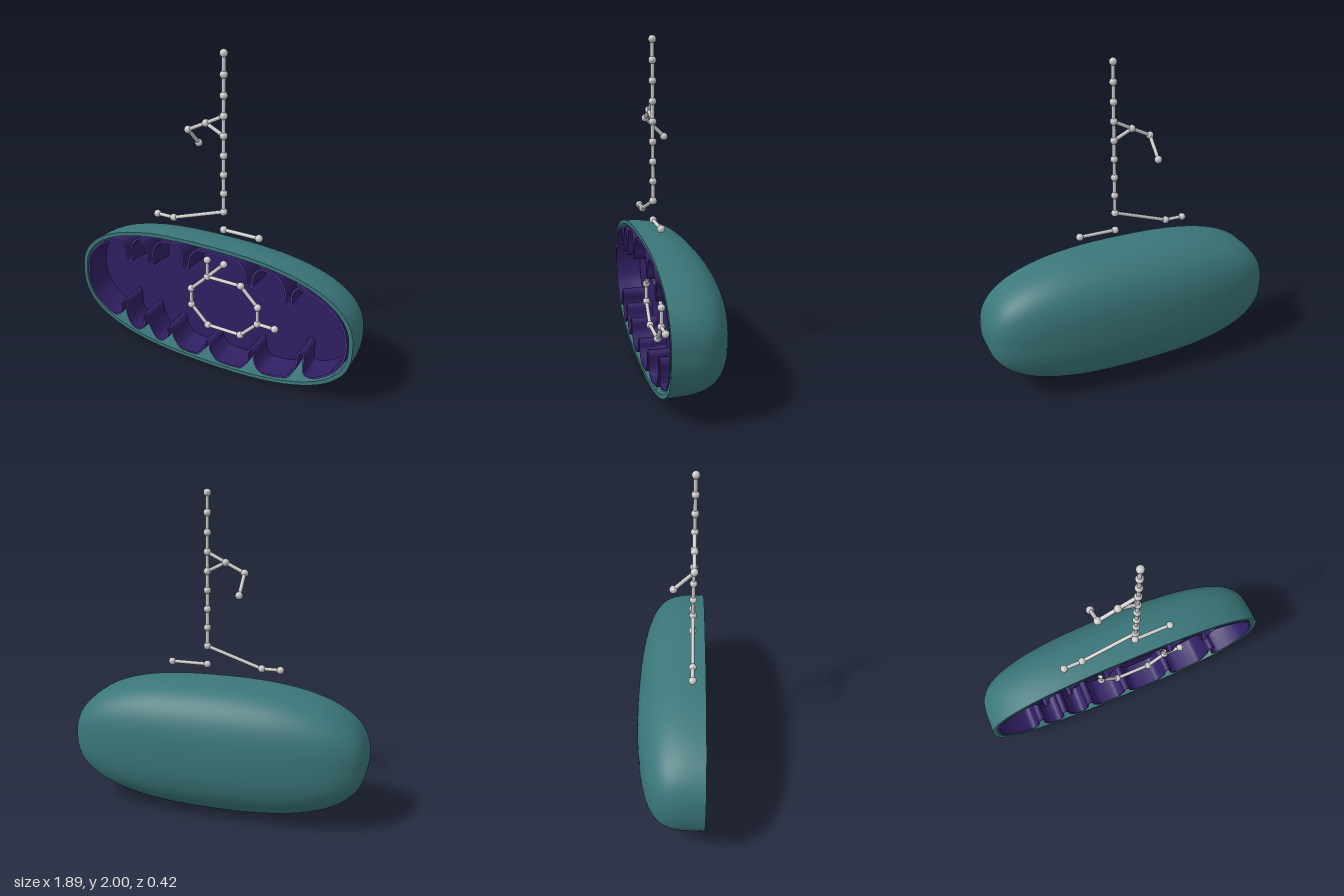
import * as THREE from 'three';
import { mergeVertices } from 'three/addons/utils/BufferGeometryUtils.js';

const CY = 0.422;      // height of the body's centre
const FRONT = 0.21;    // z of the cut face
const FLOOR = 0.04;    // z of the inner floor
const POW = 2.5;       // roundness of the body's outline

const mat = (color) => new THREE.MeshStandardMaterial({ color });
const spow = (v, p) => Math.sign(v) * Math.abs(v) ** p;

// Narrowing of the body at depth t (0 cut face, 1 back): blunt in x, rounder in y
const narrowX = (t) => Math.max(0, 1 - t ** 5) ** (1 / 2.2);
const narrowY = (t) => Math.max(0, 1 - t ** 2.8) ** (1 / 2.5);

function addMesh(parent, name, geometry, material) {
  const mesh = new THREE.Mesh(geometry, material);
  mesh.name = name;
  parent.add(mesh);
  return mesh;
}

// Skin between closed rings of equal length
function loft(rings) {
  const n = rings[0].length, index = [];
  for (let r = 0; r < rings.length - 1; r++) {
    for (let i = 0; i < n; i++) {
      const j = (i + 1) % n;
      const a = r * n + i, b = r * n + j, c = a + n, d = b + n;
      index.push(a, c, b, b, c, d);
    }
  }
  const g = new THREE.BufferGeometry().setFromPoints(rings.flat());
  g.setIndex(index);
  const merged = mergeVertices(g, 1e-5);
  merged.computeVertexNormals();
  return merged;
}

// Rings of a half shell, from the cut face to the back
function halfShell(a, b, c, steps = 32, segments = 112) {
  const rings = [];
  for (let s = 0; s <= steps; s++) {
    const t = Math.sin((s / steps) * Math.PI / 2) ** 0.8;
    const ring = [];
    for (let i = 0; i < segments; i++) {
      const angle = (i / segments) * Math.PI * 2;
      ring.push(new THREE.Vector3(
        a * narrowX(t) * spow(Math.cos(angle), 2 / POW),
        CY + b * narrowY(t) * spow(Math.sin(angle), 2 / POW), FRONT - c * t));
    }
    rings.push(ring);
  }
  return rings;
}

// Outline of the folded membrane, about its own centre
function foldedOutline() {
  const A = 0.91, B = 0.38;
  const env = (x) => B * (1 - Math.min(1, Math.abs(x) / A) ** POW) ** (1 / POW);
  // folds: base x, tip x, tip y
  const top = [[-0.58, -0.567, 0.585], [-0.408, -0.405, 0.6], [-0.14, -0.148, 0.645],
    [0.29, 0.293, 0.645], [0.545, 0.54, 0.595]];
  const bottom = [[0.625, 0.635, 0.3], [0.31, 0.31, 0.21], [0, 0, 0.16],
    [-0.27, -0.275, 0.19], [-0.45, -0.46, 0.23], [-0.64, -0.627, 0.28]];
  const pts = [];
  const add = (x, y) => pts.push(new THREE.Vector3(x, y, 0));

  const side = (folds, dir, up) => {
    folds.forEach(([bx, tx, ty], i) => {
      const e = env(bx), tip = Math.abs(ty - CY);
      const flank = (s) => [
        [bx + s * 0.065, env(bx + s * 0.065) - 0.008],
        [bx + s * 0.031, e - 0.045],
        [(bx + tx) / 2 + s * 0.016, (e + tip) / 2 - 0.01],
        [tx + s * 0.014, tip + 0.018]];
      for (const [x, y] of flank(-dir)) add(x, up * y);
      add(tx, up * tip);
      for (const [x, y] of flank(dir).reverse()) add(x, up * y);
      const next = folds[i + 1];
      if (next && Math.abs(next[0] - bx) > 0.2) {
        for (const f of [0.37, 0.63]) {
          const x = bx + (next[0] - bx) * f;
          add(x, up * env(x));
        }
      }
    });
  };
  const end = (s) => {
    for (const x of [0.75, 0.83, 0.885]) add(s * x, s * env(x));
    add(s * A, 0);
    for (const x of [0.885, 0.83, 0.75]) add(s * x, -s * env(x));
  };
  side(top, 1, 1);
  end(1);
  side(bottom, -1, -1);
  end(-1);
  pts.reverse(); // counter-clockwise
  return new THREE.CatmullRomCurve3(pts, true, 'centripetal').getSpacedPoints(640).slice(0, -1);
}

// Same outline moved inwards by a distance
function inset(points, dist) {
  const n = points.length;
  return points.map((p, i) => {
    const t = points[(i + 1) % n].clone().sub(points[(i + n - 1) % n]).normalize();
    return new THREE.Vector3(p.x - t.y * dist, p.y + t.x * dist, 0);
  });
}

// Outline placed at depth z, narrowing with the body
function ringAt(points, z) {
  const t = (FRONT - z) / 0.396;
  const kx = narrowX(t), ky = narrowY(t);
  return points.map((p) => new THREE.Vector3(p.x * kx, CY + p.y * ky, z));
}

// Balls joined by rods
function chain(name, nodes, links, material) {
  const group = new THREE.Group();
  group.name = name;
  const ball = new THREE.SphereGeometry(0.023, 20, 14);
  const pts = nodes.map(([x, y, z = 0.13]) => new THREE.Vector3(x, y, z));
  for (const p of pts) addMesh(group, 'ball', ball, material).position.copy(p);
  for (const [i, j] of links) {
    const d = pts[j].clone().sub(pts[i]);
    const rod = addMesh(group, 'rod', new THREE.CylinderGeometry(0.0115, 0.0115, d.length(), 14), material);
    rod.position.copy(pts[i]).addScaledVector(d, 0.5);
    rod.quaternion.setFromUnitVectors(new THREE.Vector3(0, 1, 0), d.normalize());
  }
  return group;
}

export function createModel() {
  const model = new THREE.Group();
  const teal = mat(0x3a7679), purple = mat(0x311f63), violet = mat(0x5c3fa0), grey = mat(0xcccccc);

  // Outer shell: outside, inside and cut rim
  const shell = new THREE.Group();
  shell.name = 'outerShell';
  const outer = halfShell(0.945, 0.422, 0.42);
  const inner = halfShell(0.92, 0.398, 0.396);
  addMesh(shell, 'shellOutside', loft(outer), teal);
  addMesh(shell, 'shellInside', loft(inner.slice().reverse()), teal);
  addMesh(shell, 'shellRim', loft([inner[0], outer[0]]), teal);
  model.add(shell);

  // Folded inner membrane with a flat floor
  const membrane = new THREE.Group();
  membrane.name = 'innerMembrane';
  const outline = foldedOutline(), inside = inset(outline, 0.01);
  const depths = [0, 0.25, 0.5, 0.75, 1].map((f) => FRONT + (FLOOR - FRONT) * f);
  addMesh(membrane, 'membraneOutside', loft(depths.map((z) => ringAt(outline, z))), purple);
  addMesh(membrane, 'membraneInside', loft(depths.map((z) => ringAt(inside, z)).reverse()), purple);
  addMesh(membrane, 'membraneRim', loft([ringAt(inside, FRONT), ringAt(outline, FRONT)]), violet);
  const floorShape = new THREE.Shape(ringAt(outline, FLOOR).map((p) => new THREE.Vector2(p.x, p.y)));
  const floor = addMesh(membrane, 'membraneFloor', new THREE.ShapeGeometry(floorShape), purple);
  floor.position.z = FLOOR;
  model.add(membrane);

  // Tall stalk with a side branch and a foot
  const stalk = [];
  for (let i = 0; i < 9; i++) stalk.push([0.075, 1.047 + i * 0.1163]);
  const stalkLinks = stalk.slice(1).map((_, i) => [i, i + 1]);
  stalk.push([-0.04, 1.57], [-0.158, 1.512], [-0.158, 1.397, 0.015], [-0.273, 0.931], [-0.39, 0.931]);
  stalkLinks.push([4, 9], [5, 9], [9, 10], [10, 11], [0, 12], [12, 13]);
  model.add(chain('stalkChain', stalk, stalkLinks, grey));

  // Short loose link
  model.add(chain('shortChain', [[0.075, 0.931], [0.308, 0.931]], [[0, 1]], grey));

  // Eight-sided ring with three short branches
  const ring = [[-0.04, 0.582], [0.192, 0.582], [0.308, 0.466], [0.308, 0.35],
    [0.192, 0.233], [-0.04, 0.233], [-0.158, 0.35], [-0.158, 0.466]];
  const ringLinks = ring.map((_, i) => [i, (i + 1) % 8]);
  ring.push([-0.04, 0.698], [0.075, 0.698], [0.425, 0.35]);
  ringLinks.push([0, 8], [0, 9], [3, 10]);
  model.add(chain('ringChain', ring, ringLinks, grey));

  return model;
}
